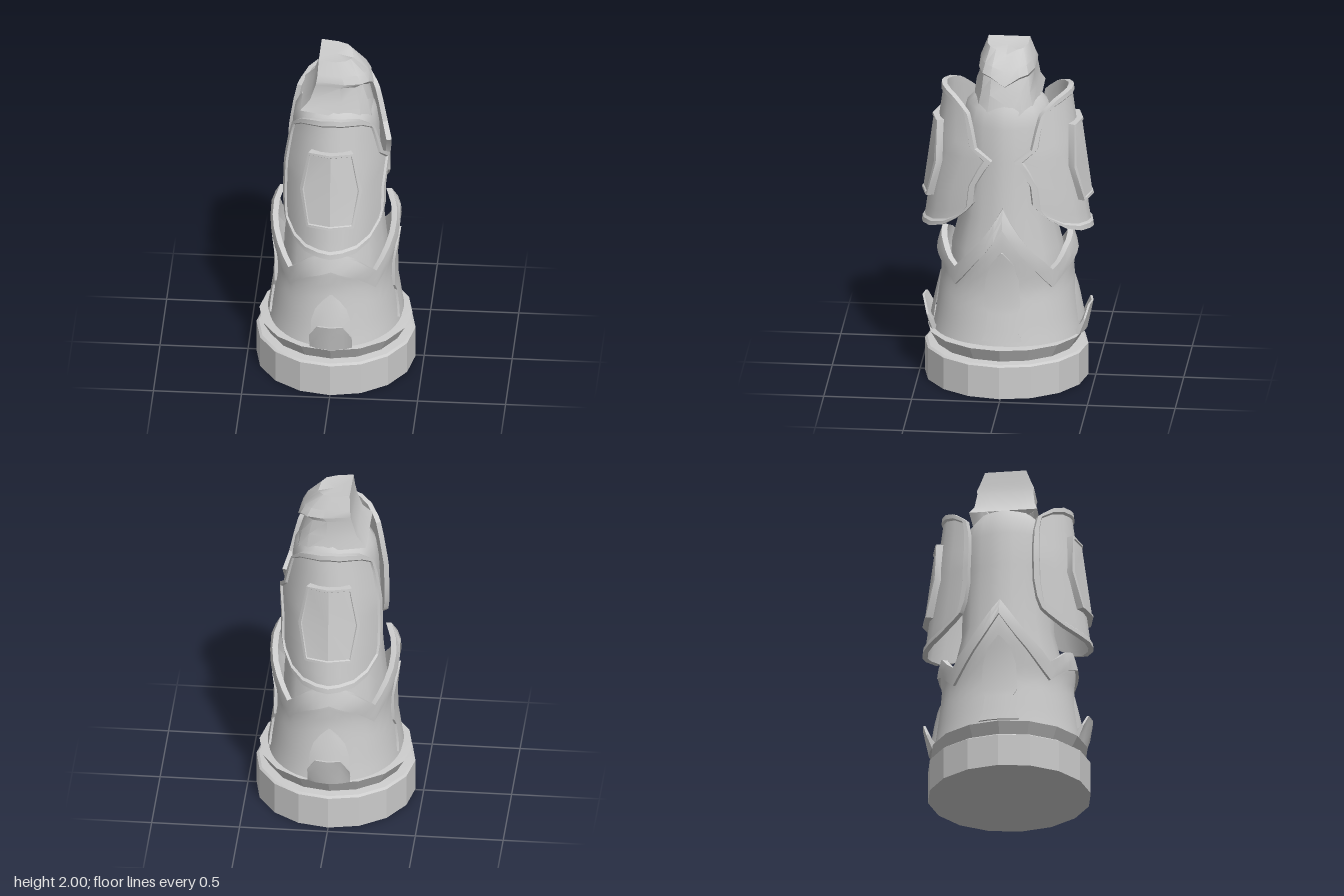
import * as THREE from 'three';
import { mergeGeometries, mergeVertices, toCreasedNormals } from 'three/addons/utils/BufferGeometryUtils.js';

const material = new THREE.MeshStandardMaterial({ color: 0xcccccc, side: THREE.DoubleSide });
const rad = THREE.MathUtils.degToRad;

// Piecewise-linear lookup in a list of [key, value] with rising keys
function interp(table, k) {
  if (k <= table[0][0]) return table[0][1];
  for (let i = 1; i < table.length; i++) {
    const [k0, a] = table[i - 1], [k1, b] = table[i];
    if (k <= k1) return a + (b - a) * (k - k0) / (k1 - k0);
  }
  return table[table.length - 1][1];
}

// Surface from an nu x nv lattice of points
function grid(nu, nv, point, flip = false) {
  const pos = [], index = [];
  for (let j = 0; j < nv; j++) for (let i = 0; i < nu; i++) pos.push(...point(i, j));
  for (let j = 0; j < nv - 1; j++) for (let i = 0; i < nu - 1; i++) {
    const a = j * nu + i, b = a + 1, d = a + nu, c = d + 1;
    if (flip) index.push(a, c, b, a, d, c);
    else index.push(a, b, c, a, c, d);
  }
  const geometry = new THREE.BufferGeometry();
  geometry.setAttribute('position', new THREE.Float32BufferAttribute(pos, 3));
  geometry.setIndex(index);
  return geometry;
}

function part(name, geometry, crease = 0.6) {
  const mesh = new THREE.Mesh(toCreasedNormals(mergeVertices(geometry, 1e-5), crease), material);
  mesh.name = name;
  return mesh;
}

// Curved plate with thickness: f(u, v, inner) gives the outer or the inner skin
function slab(name, us, vs, f, flip = false) {
  const U = [us[0], ...us, us[us.length - 1]], V = [vs[0], ...vs, vs[vs.length - 1]];
  const outer = grid(U.length, V.length, (i, j) =>
    f(U[i], V[j], i === 0 || j === 0 || i === U.length - 1 || j === V.length - 1), flip);
  const inner = grid(us.length, vs.length, (i, j) => f(us[i], vs[j], true), !flip);
  return part(name, mergeGeometries([outer, inner]), 0.5);
}

// Shoulder shield surface: angle measured from the z axis
const shieldRx = [[0.9, 0.315], [1.1, 0.32], [1.38, 0.315], [1.7, 0.27]];
function shieldPoint(angle, y, off, s) {
  const rz = 0.375 + (1.755 - y) * 0.135;
  return [(interp(shieldRx, y) + off) * Math.sin(angle), y, s * (rz + off) * Math.cos(angle)];
}

function makeShield(s) {
  const group = new THREE.Group();
  group.name = s > 0 ? 'frontShoulderShield' : 'backShoulderShield';
  const top = [[0, 1.755], [0.55, 1.735], [0.8, 1.70], [1, 1.64]];
  const bottom = [[0, 0.905], [0.5, 0.925], [0.8, 0.97], [1, 1.05]];
  const notchEdge = [[0, 60], [0.1, 68], [0.31, 69], [0.47, 76], [0.56, 81], [0.67, 67], [0.9, 61], [1, 57]];
  const plainEdge = [[0, 60], [0.2, 65], [0.8, 63], [1, 58]];
  const us = [-1, -0.93, -0.91, -0.7, -0.45, -0.2, 0, 0.2, 0.45, 0.7, 0.91, 0.93, 1];
  const vs = [0, 0.035, 0.05, 0.12, 0.31, 0.47, 0.56, 0.67, 0.85, 0.95, 0.965, 1];
  group.add(slab('shieldPlate', us, vs, (u, v, inner) => {
    const a = Math.abs(u);
    const y = THREE.MathUtils.lerp(interp(bottom, a), interp(top, a), v);
    const angle = u * rad(interp(u > 0 ? notchEdge : plainEdge, v));
    const recessed = a < 0.92 && v > 0.04 && v < 0.96;
    return shieldPoint(angle, y, inner ? -0.03 : recessed ? -0.012 : 0, s);
  }, s < 0));
  // raised six-sided panel with a thin frame
  const panelEdge = [[0, 23], [0.48, 31], [1, 24]];
  group.add(slab('shieldPanel', [-1, -0.9, -0.88, 0, 0.88, 0.9, 1], [0, 0.03, 0.04, 0.48, 0.96, 0.97, 1],
    (u, v, inner) => {
      const recessed = Math.abs(u) < 0.89 && v > 0.035 && v < 0.965;
      return shieldPoint(u * rad(interp(panelEdge, v)), 1.1 + 0.455 * v, inner ? -0.02 : recessed ? 0.019 : 0.026, s);
    }, s < 0));
  return group;
}

// Robe surface: angle measured from the z axis, petals towards x and z
const robeRx = [[0.28, 0.38], [0.36, 0.365], [0.6, 0.33], [0.72, 0.342], [0.87, 0.36], [1.0, 0.35], [1.1, 0.305]];
const robeRz = [[0.28, 0.425], [0.36, 0.41], [0.55, 0.385], [0.66, 0.375], [0.76, 0.388], [0.88, 0.36], [1.1, 0.34]];
function robePoint(angle, y, off) {
  return [(interp(robeRx, y) + off) * Math.sin(angle), y, (interp(robeRz, y) + off) * Math.cos(angle)];
}
function robeTop(angle) {
  const d = THREE.MathUtils.radToDeg(Math.asin(Math.min(1, Math.abs(Math.sin(angle)))));
  return interp([[0, 0.88], [24, 0.82], [45, 0.72], [62, 0.84], [78, 0.98], [90, 1.1]], d);
}

export function createModel() {
  const model = new THREE.Group();
  model.name = 'robedGuardPiece';

  // Plinth and flared collar
  const baseProfile = [[0, 0], [0.452, 0], [0.452, 0.19], [0.438, 0.2], [0.39, 0.205], [0.435, 0.285], [0.37, 0.292], [0, 0.292]]
    .map(([r, y]) => new THREE.Vector2(r, y));
  const base = part('base', new THREE.LatheGeometry(baseProfile, 16), 0.3);
  base.scale.z = 1.03;
  base.position.z = 0.008;
  model.add(base);

  // Robe with a zigzag upper edge
  const N = 48, turn = i => (i / N) * Math.PI * 2;
  model.add(part('robe', grid(N + 1, 10, (i, j) => {
    const a = turn(i);
    return robePoint(a, THREE.MathUtils.lerp(0.28, robeTop(a) - 0.01, j / 9), 0);
  }), 0.8));

  // Hem band following the zigzag
  const bandLoop = [[1, -0.02], [0, 0], [0, 0.016], [0.5, 0.016], [1, 0.012], [1, -0.02]];
  model.add(part('robeBand', grid(N + 1, bandLoop.length, (i, j) => {
    const a = turn(i), t = robeTop(a), [k, off] = bandLoop[j];
    return robePoint(a, t - 0.11 * (1 - k), off);
  }), 0.5));

  // Torso inside the robe, up to the shoulders
  const torso = [[0.5, 0.3, 0.33], [0.8, 0.285, 0.31], [1.0, 0.265, 0.26], [1.35, 0.25, 0.25],
    [1.55, 0.24, 0.25], [1.65, 0.225, 0.225], [1.71, 0.19, 0.17], [1.74, 0, 0]];
  model.add(part('torso', grid(25, torso.length, (i, j) => {
    const a = (i / 24) * Math.PI * 2, [y, rx, rz] = torso[j];
    const fold = 1 + 0.02 * Math.cos(a * 8);
    return [rx * fold * Math.sin(a), y, rz * fold * Math.cos(a)];
  }), 0.7));

  // Pointed strips on the x sides of the robe
  const stripWidth = [[0.32, 0.1], [0.38, 0.08], [0.48, 0.075], [0.52, 0.095], [0.68, 0.09], [0.78, 0.06], [0.85, 0.004]];
  for (const s of [-1, 1]) {
    model.add(slab(s > 0 ? 'leftStrip' : 'rightStrip', [-1, -0.5, 0, 0.5, 1], stripWidth.map(r => r[0]), (u, y, inner) =>
      robePoint(s * Math.PI / 2 + Math.asin(u * interp(stripWidth, y) / 0.37), y, inner ? -0.01 : 0.013)));
  }

  for (const s of [-1, 1]) {
    const side = s > 0 ? 'front' : 'back';
    // Domed arch above the lip
    const archWidth = [[0.36, 0.115], [0.45, 0.112], [0.52, 0.09], [0.57, 0.05], [0.61, 0.004]];
    model.add(part(side + 'Arch', grid(7, 5, (i, j) => {
      const u = i / 3 - 1, [y, w] = archWidth[j];
      const z = interp(robeRz, y) + 0.002 + 0.025 * (1 - u * u) * (1 - j / 4);
      return [u * w, y, s * z];
    }, s < 0), 0.8));
    // Outward pointing lip rising from the collar
    model.add(slab(side + 'Lip', [-1, -0.6, 0, 0.6, 1], [0, 0.6, 1], (u, v, inner) => {
      const a = Math.abs(u);
      const y = 0.285 + v * (a > 0.9 ? 0.09 : 0.165);
      const z = 0.452 + 0.035 * v - 0.035 * a * a;
      return [u * 0.12, y, s * (inner ? z - 0.04 * (1 - 0.7 * v) : z)];
    }, s < 0));
    model.add(makeShield(s));
  }

  // Hood: rows of [back x, front x, half depth, back y, front y]
  const hoodRows = [
    [-0.19, 0.235, 0.195, 1.71, 1.54],
    [-0.135, 0.21, 0.172, 1.77, 1.69],
    [-0.105, 0.175, 0.16, 1.86, 1.785],
    [-0.1, 0.215, 0.163, 1.885, 1.80],
    [-0.095, 0.185, 0.148, 1.92, 1.88],
    [-0.09, 0.1, 0.118, 2.0, 1.955],
    [0, 0, 0, 1.98, 1.98],
  ];
  // loop of [position back to front, depth share, lowering share]
  const half = [[1, 0, 1], [0.93, 0.5, 0.4], [0.8, 0.8, 0.3], [0.5, 0.98, 0.22], [0, 1, 0], [0, 0.5, 0]];
  const loop = [...half.map(([x, z, k]) => [x, -z, k]), [0, 0, 0],
    ...half.slice().reverse().map(([x, z, k]) => [x, z, k])];
  model.add(part('hood', grid(loop.length, hoodRows.length, (i, j) => {
    const [xb, xf, hz, yb, yf] = hoodRows[j], [x, z, k] = loop[i];
    return [xb + (xf - xb) * x, yb + (yf - yb) * k, hz * z];
  }), 0.55));

  return model;
}
